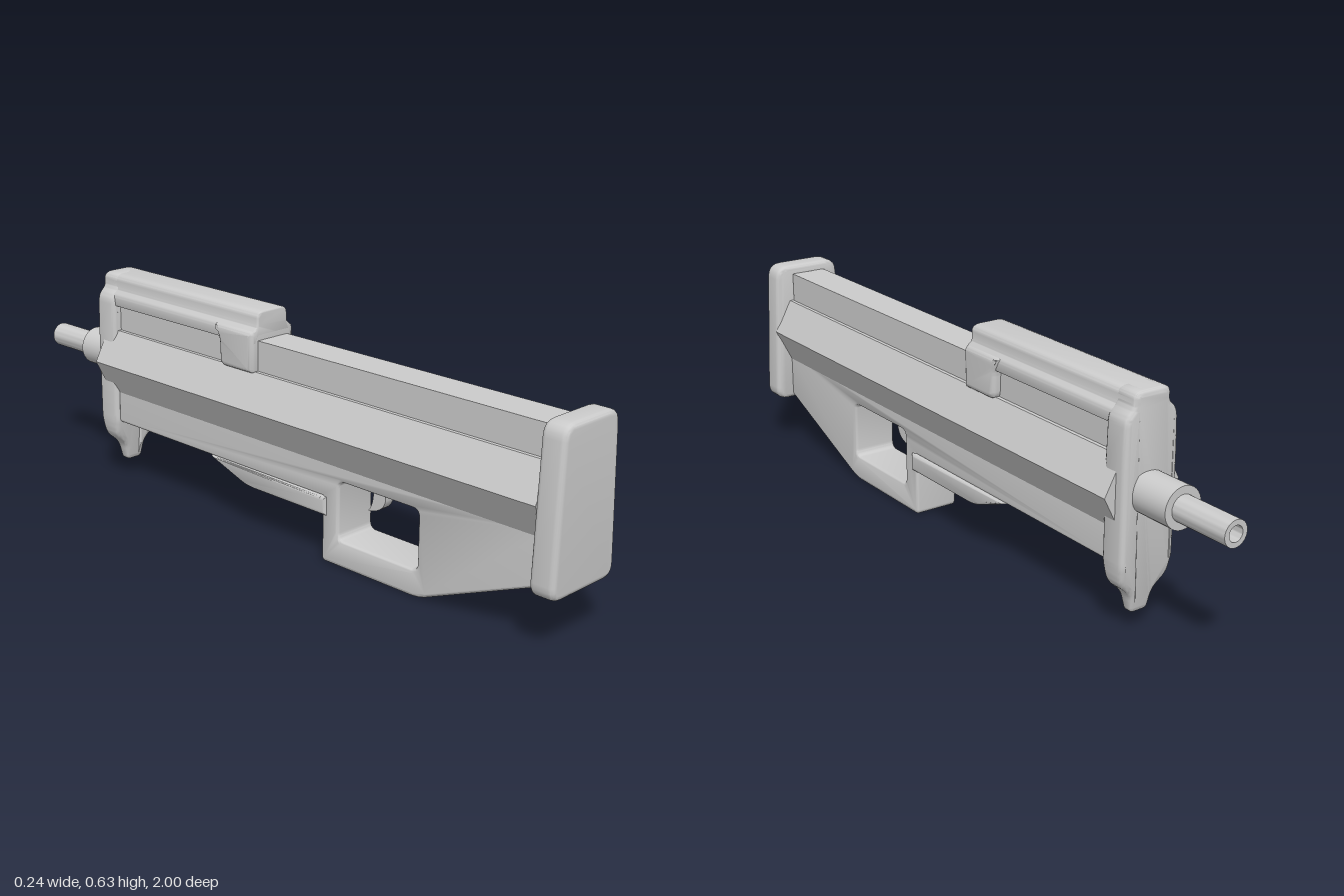
import * as THREE from 'three';
import { toCreasedNormals } from 'three/addons/utils/BufferGeometryUtils.js';

const material = new THREE.MeshStandardMaterial({ color: 0xcccccc });

// Trace a closed outline, rounding each corner by its third value (or r).
function trace(path, pts, r = 0) {
  const n = pts.length;
  pts.forEach((p, i) => {
    const c = new THREE.Vector2(p[0], p[1]);
    const toward = (q) => {
      const d = new THREE.Vector2(q[0], q[1]).sub(c);
      const len = d.length();
      return d.multiplyScalar(Math.min(p[2] ?? r, len * 0.45) / len).add(c);
    };
    const a = toward(pts[(i + n - 1) % n]);
    const b = toward(pts[(i + 1) % n]);
    if (i === 0) path.moveTo(a.x, a.y); else path.lineTo(a.x, a.y);
    if ((p[2] ?? r) > 0) path.quadraticCurveTo(c.x, c.y, b.x, b.y);
  });
  path.closePath();
  return path;
}

// Extrude an outline, centred on its depth, with softened edges.
function slab(pts, depth, { r = 0, bevel = 0, hole = null, holeR = 0 } = {}) {
  const shape = trace(new THREE.Shape(), pts, r);
  if (hole) shape.holes.push(trace(new THREE.Path(), hole, holeR));
  const geo = new THREE.ExtrudeGeometry(shape, {
    depth: depth - 2 * bevel, curveSegments: 5, bevelEnabled: bevel > 0,
    bevelSize: bevel, bevelThickness: bevel, bevelOffset: -bevel, bevelSegments: 4,
  });
  return geo.translate(0, 0, bevel - depth / 2);
}

// Outline given as (z, y), thickness across x.
const sideSlab = (pts, width, opts) => slab(pts, width, opts).rotateY(-Math.PI / 2);
// Outline given as (x, y), running from z0 to z1.
const frontSlab = (pts, z0, z1, opts) => slab(pts, z1 - z0, opts).translate(0, 0, (z0 + z1) / 2);
// Right half listed top to bottom, mirrored into a closed outline.
const mirrored = (half) => [...half, ...half.map(([x, ...rest]) => [-x, ...rest]).reverse()];

export function createModel() {
  const group = new THREE.Group();
  const add = (name, geo, crease = 0.6) => {
    const mesh = new THREE.Mesh(toCreasedNormals(geo, crease), material);
    mesh.name = name;
    group.add(mesh);
    return mesh;
  };

  // Long receiver with a ridge along each side
  add('receiver', frontSlab(mirrored([
    [0.065, 0.48], [0.116, 0.385], [0.067, 0.29],
  ]), -0.68, 0.935), 0.2);
  add('topCover', frontSlab(mirrored([[0.054, 0.565], [0.054, 0.45]]), -0.68, 0.925), 0.2);

  // Stock, grip and fore-end in one silhouette, with the trigger opening
  add('lowerBody', sideSlab([
    [0.95, 0.32], [0.95, 0.175], [0.55, 0.01, 0.03], [0.21, 0.01, 0.012],
    [0.21, 0.195], [-0.66, 0.195], [-0.66, 0.32],
  ], 0.134, {
    bevel: 0.01, holeR: 0.02,
    hole: [[0.545, 0.085], [0.545, 0.25], [0.27, 0.25], [0.27, 0.085]],
  }));
  add('handGuard', sideSlab([
    [0.23, 0.198], [0.23, 0.143], [-0.08, 0.143, 0.03], [-0.225, 0.198],
  ], 0.148, { bevel: 0.012 }));

  // Curved trigger
  const blade = new THREE.Shape();
  blade.moveTo(0.39, 0.26);
  blade.lineTo(0.39, 0.215);
  blade.quadraticCurveTo(0.38, 0.178, 0.33, 0.174);
  blade.quadraticCurveTo(0.352, 0.195, 0.347, 0.26);
  const bladeGeo = new THREE.ExtrudeGeometry(blade, { depth: 0.03, bevelEnabled: false, curveSegments: 8 });
  add('trigger', bladeGeo.translate(0, 0, -0.015).rotateY(-Math.PI / 2));

  // Butt plate, wider at the bottom
  add('buttPlate', frontSlab(mirrored([
    [0.104, 0.59], [0.123, 0.16],
  ]), 0.93, 1, { r: 0.04, bevel: 0.014 }));

  // Sighting rail on top, with its rear saddle
  add('topRail', frontSlab(mirrored([
    [0.055, 0.645, 0.028], [0.055, 0.602, 0.006], [0.072, 0.588, 0.01], [0.072, 0.555, 0.004],
  ]), -0.705, -0.045, { bevel: 0.006 }));
  add('rearSaddle', sideSlab([
    [-0.045, 0.592], [-0.045, 0.475], [-0.175, 0.475, 0.02], [-0.178, 0.55], [-0.2, 0.592],
  ], 0.16, { r: 0.012, bevel: 0.016 }));

  // Front bracket, its lower end thinned into a pointed tab
  const bracket = frontSlab(mirrored([
    [0.055, 0.645, 0.028], [0.055, 0.605, 0.01], [0.08, 0.58, 0.02], [0.083, 0.48],
    [0.083, 0.2, 0.02], [0.076, 0.15, 0.02], [0.036, 0.115, 0.02], [0.026, 0.06, 0.012],
  ]), -0.71, -0.633, { bevel: 0.014 });
  const pos = bracket.attributes.position;
  for (let i = 0; i < pos.count; i++) {
    const t = THREE.MathUtils.clamp((0.2 - pos.getY(i)) / 0.14, 0, 1);
    pos.setZ(i, -0.671 + (pos.getZ(i) + 0.671) * (1 - 0.65 * t));
  }
  add('frontBracket', bracket);

  // Stepped barrel with a hollow muzzle
  const barrel = new THREE.LatheGeometry([
    [0, 0.64], [0.056, 0.64], [0.056, 0.825], [0.035, 0.825],
    [0.035, 1], [0.021, 1], [0.021, 0.88], [0, 0.88],
  ].map(([r, h]) => new THREE.Vector2(r, h)), 32);
  add('barrel', barrel.rotateX(-Math.PI / 2).translate(0, 0.385, 0));

  return group;
}
